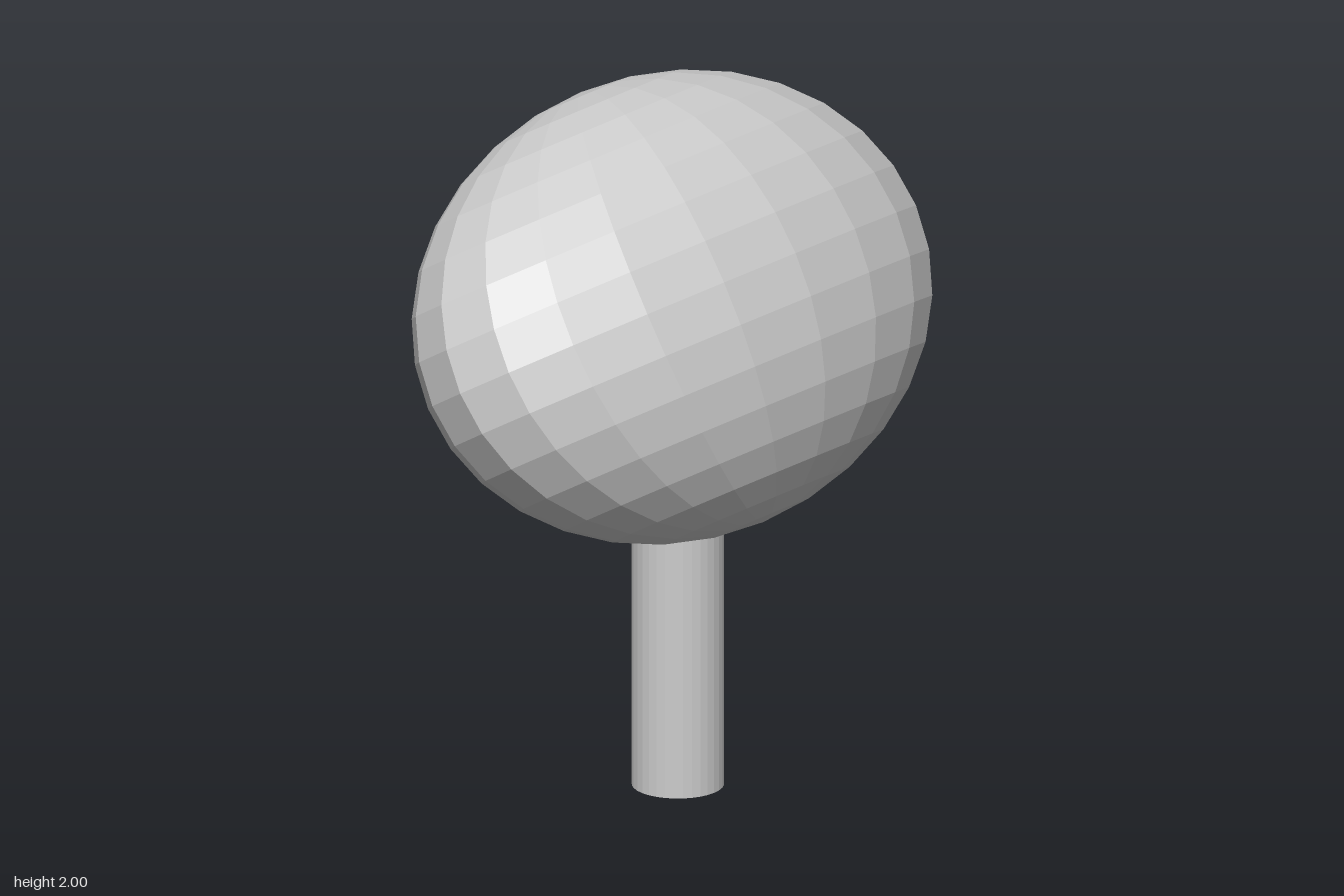
import * as THREE from 'three';

export function createModel() {
  const model = new THREE.Group();
  const material = new THREE.MeshStandardMaterial({ color: 0xcccccc, flatShading: true });

  // Faceted ellipsoid crown, its pole leaning towards the back
  const crown = new THREE.Mesh(new THREE.SphereGeometry(1, 20, 16), material);
  crown.name = 'crown';
  crown.scale.set(0.93, 0.64, 0.5);
  crown.rotation.x = -Math.PI / 6;
  crown.position.y = 1.395;
  model.add(crown);

  // Round trunk, slightly off centre
  const height = 0.83;
  const trunk = new THREE.Mesh(new THREE.CylinderGeometry(0.127, 0.127, height, 32), material);
  trunk.name = 'trunk';
  trunk.position.set(0.042, height / 2, -0.013);
  model.add(trunk);

  return model;
}
